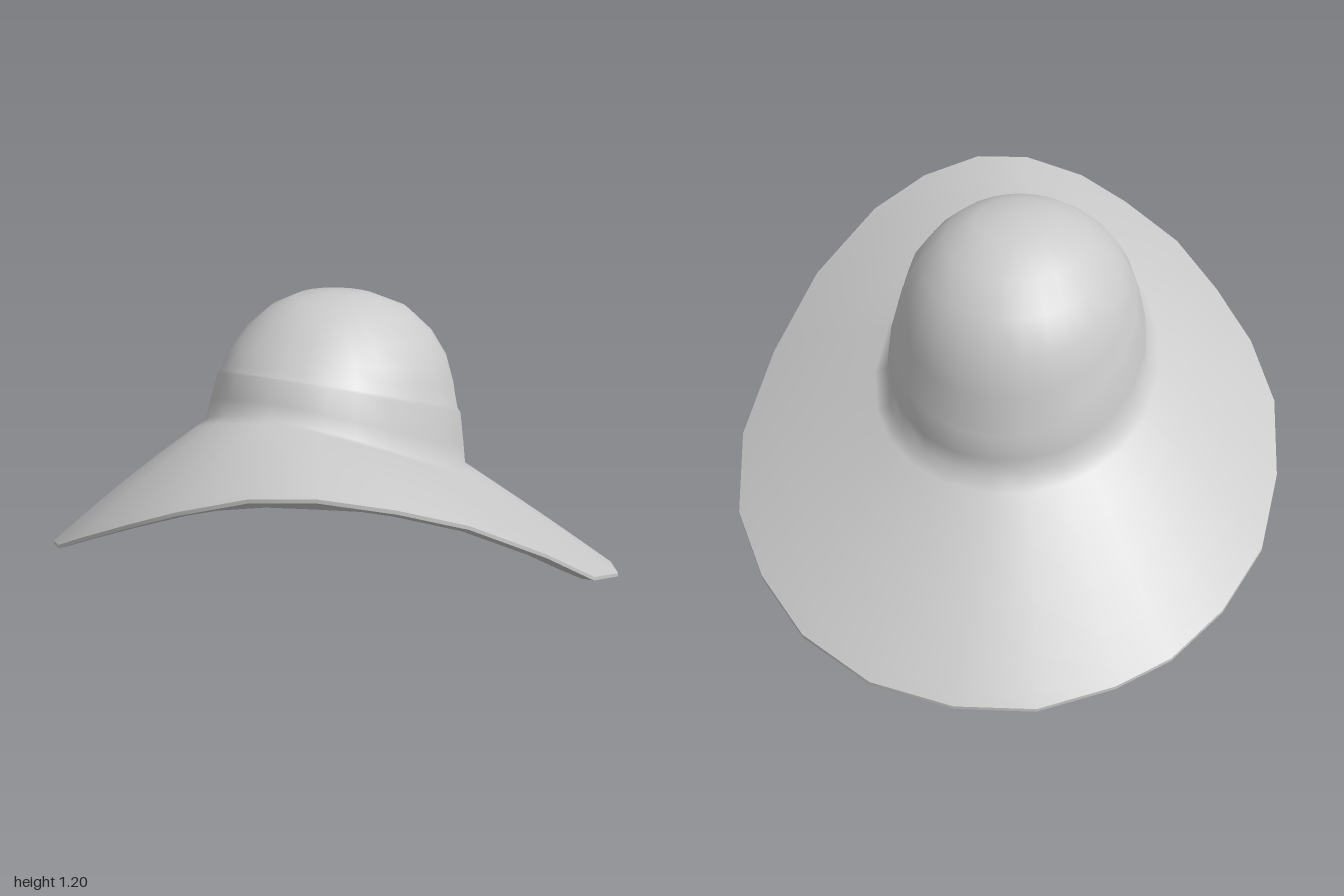
import * as THREE from 'three';
import { mergeVertices } from 'three/addons/utils/BufferGeometryUtils.js';

// Wavy rim of the brim as [x, y, z], starting at the back and turning towards +x
const RIM = [
  [-0.08, 0.012, -1], [0.2, 0.02, -0.98], [0.46, 0.06, -0.88], [0.66, 0.12, -0.72],
  [0.82, 0.19, -0.52], [0.92, 0.29, -0.23], [0.925, 0.42, 0.1], [0.85, 0.6, 0.38],
  [0.7, 0.76, 0.63], [0.55, 0.84, 0.79], [0.37, 0.885, 0.91], [0.19, 0.875, 0.97],
  [-0.02, 0.81, 1], [-0.2, 0.73, 0.98], [-0.42, 0.62, 0.92], [-0.6, 0.51, 0.79],
  [-0.76, 0.42, 0.61], [-0.88, 0.34, 0.37], [-0.93, 0.25, 0.07], [-0.92, 0.165, -0.22],
  [-0.83, 0.11, -0.48], [-0.7, 0.07, -0.69], [-0.55, 0.04, -0.82], [-0.33, 0.017, -0.95],
].map((p) => new THREE.Vector3(...p));
const ANGLES = RIM.map((p) => Math.atan2(p.x, -p.z));
const FRONTNESS = ANGLES.map((a) => (1 - Math.cos(a)) / 2);

// Brim stations from band to rim, with the felt thickness at the back and front
const STATIONS = [
  { t: 0, back: 0.11, front: 0.08 }, { t: 0.08, back: 0.112, front: 0.08 },
  { t: 0.3, back: 0.12, front: 0.075 }, { t: 0.55, back: 0.115, front: 0.07 },
  { t: 0.78, back: 0.08, front: 0.06 }, { t: 0.92, back: 0.04, front: 0.04 },
  { t: 1, back: 0.012, front: 0.012 },
];

// Tilted oval ring through a front and a back point, with its sides sagging
function ring(frontZ, frontY, backZ, backY, halfWidth, sag = 0) {
  return ANGLES.map((a, i) => new THREE.Vector3(
    -0.03 + halfWidth * Math.sin(a),
    THREE.MathUtils.lerp(backY, frontY, FRONTNESS[i]) - sag * Math.sin(a) ** 2,
    THREE.MathUtils.lerp(backZ, frontZ, FRONTNESS[i])
  ));
}

// Smooth skin over closed rings, ordered from the top outwards
function loft(name, rings) {
  const n = ANGLES.length;
  const index = [];
  for (let r = 0; r < rings.length - 1; r++) {
    for (let i = 0; i < n; i++) {
      const a = r * n + i, b = r * n + ((i + 1) % n);
      index.push(a, b, a + n, b, b + n, a + n);
    }
  }
  let geometry = new THREE.BufferGeometry().setFromPoints(rings.flat());
  geometry.setIndex(index);
  geometry = mergeVertices(geometry, 1e-5);
  geometry.computeVertexNormals();
  const material = new THREE.MeshStandardMaterial({ color: 0xcccccc, side: THREE.DoubleSide });
  const mesh = new THREE.Mesh(geometry, material);
  mesh.name = name;
  return mesh;
}

export function createModel() {
  const hat = new THREE.Group();
  hat.name = 'sunHat';

  // Rounded crown, leaning back
  const dome = [
    ring(-0.02, 1.2, -0.02, 1.2, 0),
    ring(0.11, 1.183, -0.16, 1.178, 0.14),
    ring(0.2, 1.15, -0.29, 1.122, 0.23),
    ring(0.275, 1.1, -0.385, 1.035, 0.3),
    ring(0.325, 1.06, -0.445, 0.93, 0.35),
    ring(0.36, 1.03, -0.475, 0.81, 0.378),
    ring(0.375, 1.015, -0.487, 0.69, 0.395),
  ];

  // Band standing slightly proud of the crown
  const band = [
    ring(0.385, 1.012, -0.5, 0.68, 0.405, 0.01),
    ring(0.42, 0.945, -0.503, 0.59, 0.425, 0.04),
  ];

  // Wide brim from the band to the rim, gently arched at the front
  const base = ring(0.44, 0.9, -0.503, 0.53, 0.437, 0.06);
  const brim = STATIONS.map(({ t }) => base.map((p, i) => {
    const q = p.clone().lerp(RIM[i], t);
    q.y += 0.016 * Math.sin(Math.PI * t) * FRONTNESS[i];
    return q;
  }));

  // Crown, band and brim share one soft felt surface
  hat.add(loft('crownAndBrim', [...dome, ...band, ...brim]));

  // Underside: a rolled lip, a dished brim and a shallow ceiling below the crown
  const under = brim.map((r, k) => r.map((p, i) => {
    const q = p.clone();
    q.y -= THREE.MathUtils.lerp(STATIONS[k].back, STATIONS[k].front, FRONTNESS[i]);
    return q;
  }));
  const centre = new THREE.Vector3(-0.03, 0.64, -0.03);
  const ceiling = [0, 0.4, 0.75].map((t) => under[0].map((p) => centre.clone().lerp(p, t)));
  hat.add(loft('underside', [...ceiling, ...under].reverse()));

  // Thin edge joining both faces of the brim
  hat.add(loft('brimEdge', [brim.at(-1), under.at(-1)]));

  return hat;
}
